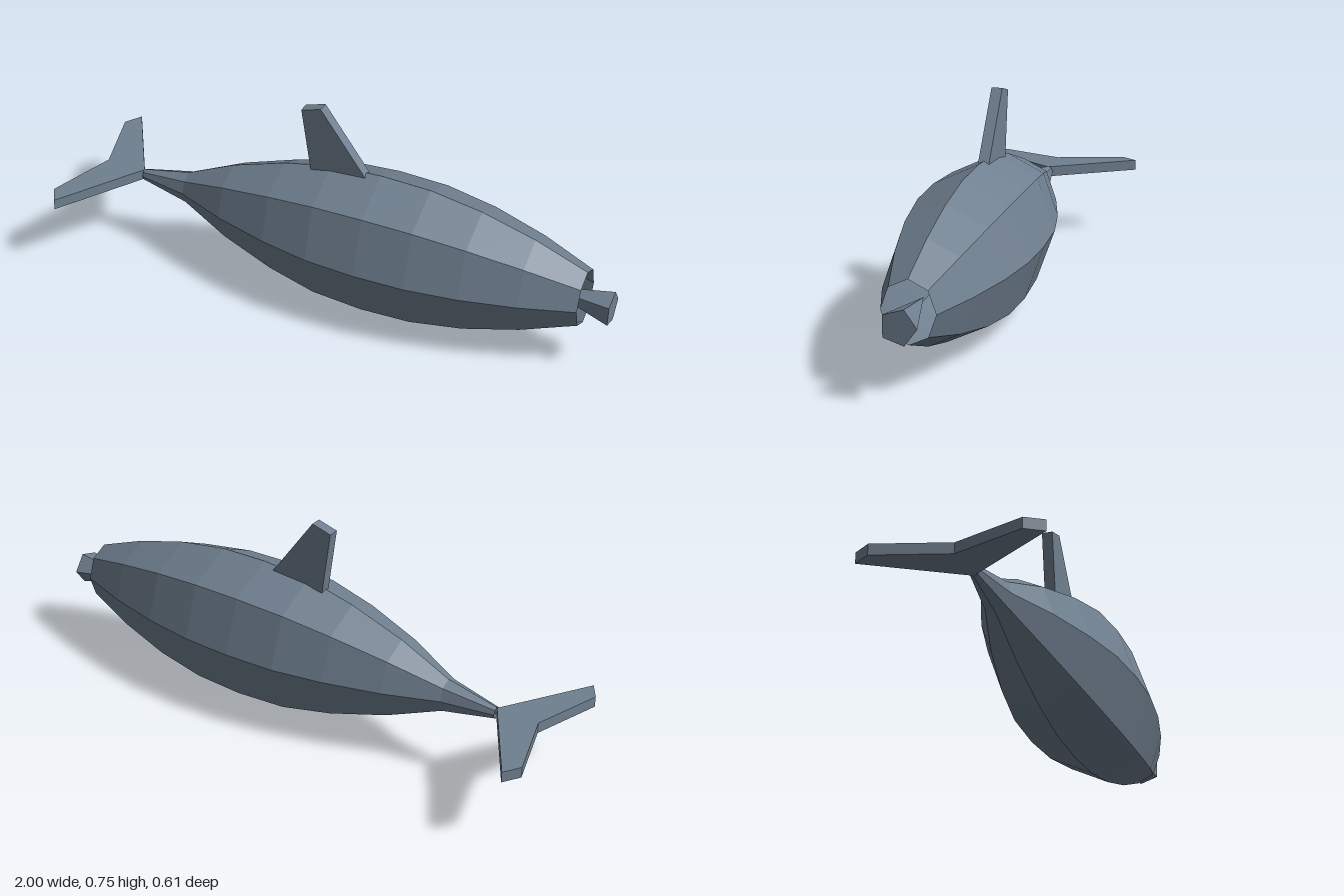
import * as THREE from 'three';

const AXIS_Y = 0.268;

// Thin plate with the outline in the xy plane, centred on z = 0
function plate(outline, thickness) {
  const shape = new THREE.Shape(outline.map(([x, y]) => new THREE.Vector2(x, y)));
  const geometry = new THREE.ExtrudeGeometry(shape, { depth: thickness, bevelEnabled: false });
  return geometry.translate(0, 0, -thickness / 2);
}

export function createModel() {
  const group = new THREE.Group();
  const skin = new THREE.MeshStandardMaterial({ color: 0x708090, flatShading: true, side: THREE.DoubleSide });
  skin.name = 'slate grey skin';

  const add = (name, geometry) => {
    const mesh = new THREE.Mesh(geometry, skin);
    mesh.name = name;
    group.add(mesh);
  };

  // Eight-sided spindle body along x, open at the snout: [x, half height]
  const profile = [
    [-0.77, 0.021], [-0.585, 0.061], [-0.4, 0.147], [-0.2, 0.214], [-0.02, 0.255],
    [0.165, 0.267], [0.345, 0.261], [0.53, 0.23], [0.72, 0.176], [0.905, 0.104],
  ];
  const body = new THREE.LatheGeometry(profile.map(([x, r]) => new THREE.Vector2(r, x)), 8);
  body.rotateZ(-Math.PI / 2).scale(1, 1, 0.845).translate(0, AXIS_Y, 0);
  add('body', body);

  // Five-sided beak, a cone with its point inside the body and its base forward
  const beak = new THREE.ConeGeometry(0.06, 0.24, 5);
  beak.rotateY(Math.PI).rotateZ(Math.PI / 2).translate(0.88, 0, 0);
  const p = beak.attributes.position;
  for (let i = 0; i < p.count; i++) {
    p.setY(i, p.getY(i) + 0.253 + (1 - p.getX(i)) * 0.06); // slight droop forward
  }
  add('beak', beak);

  // Swept-back dorsal fin
  add('dorsalFin', plate([[-0.09, 0.5], [0.12, 0.515], [-0.05, 0.75], [-0.122, 0.73]], 0.038));

  // Horizontal tail flukes
  const flukes = plate([
    [-0.77, 0], [-0.962, 0.304], [-1, 0.245], [-0.922, 0], [-1, -0.245], [-0.962, -0.304],
  ], 0.038);
  add('tailFlukes', flukes.rotateX(Math.PI / 2).translate(0, AXIS_Y, 0));

  return group;
}
